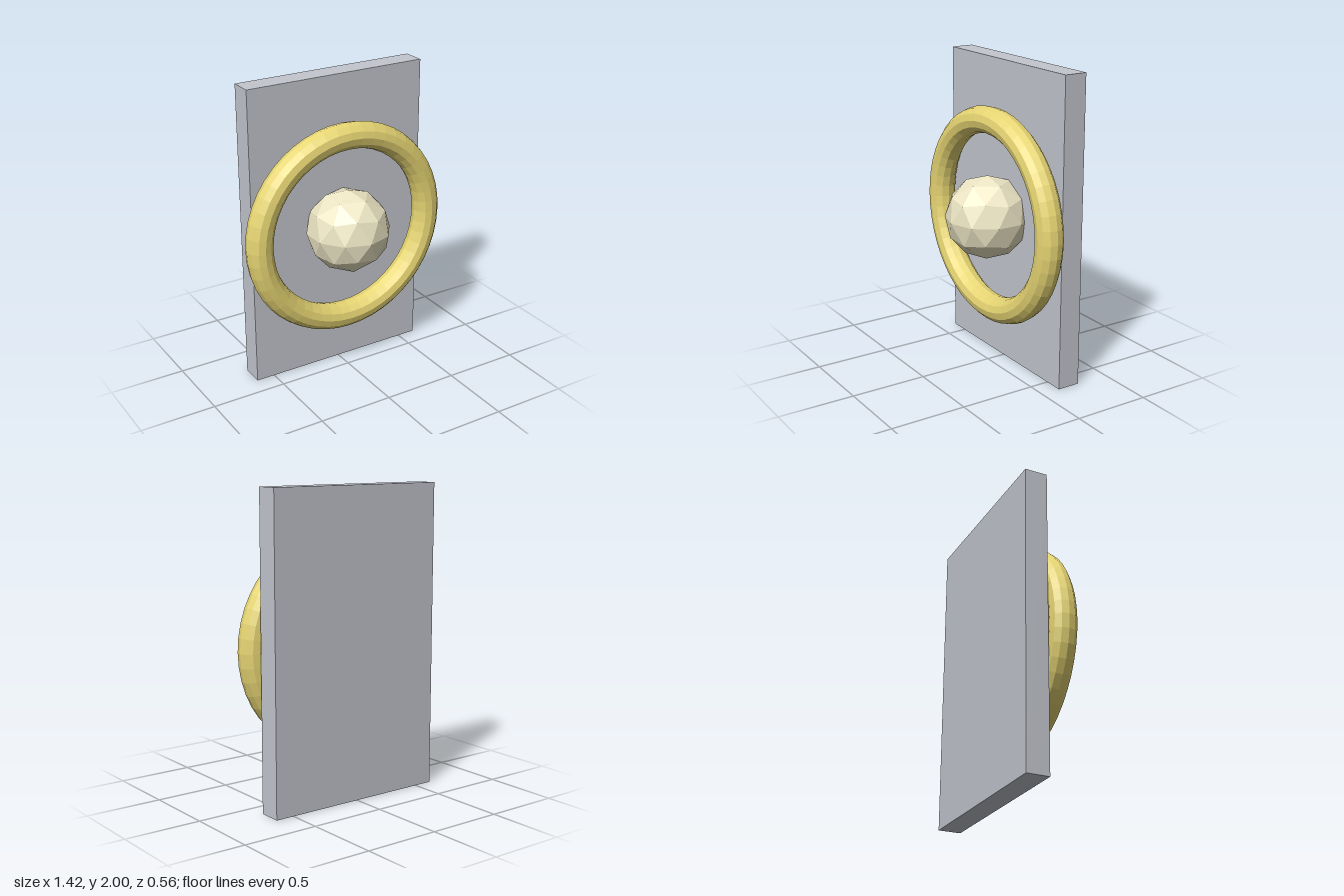
import * as THREE from 'three';

function part(name, geometry, color, position) {
  const material = new THREE.MeshStandardMaterial({ color, flatShading: true });
  const mesh = new THREE.Mesh(geometry, material);
  mesh.name = name;
  mesh.position.set(...position);
  return mesh;
}

export function createModel() {
  const model = new THREE.Group();
  model.name = 'wallPanelLight';

  // Upright rectangular slab at the back
  model.add(part('backPanel', new THREE.BoxGeometry(1.25, 2, 0.15), 0xc3c6ce, [0, 1, -0.203]));

  // Faceted ring standing just off the panel
  model.add(part('ring', new THREE.TorusGeometry(0.625, 0.0875, 12, 48), 0xe6d573, [0, 1, -0.032]));

  // Faceted ball half sunk into the panel, turned so a five-sided corner points up
  const ball = new THREE.IcosahedronGeometry(0.275, 1);
  ball.rotateZ(-Math.atan(2 / (1 + Math.sqrt(5))));
  model.add(part('centreBall', ball, 0xece5c4, [0, 1, 0.003]));

  return model;
}
